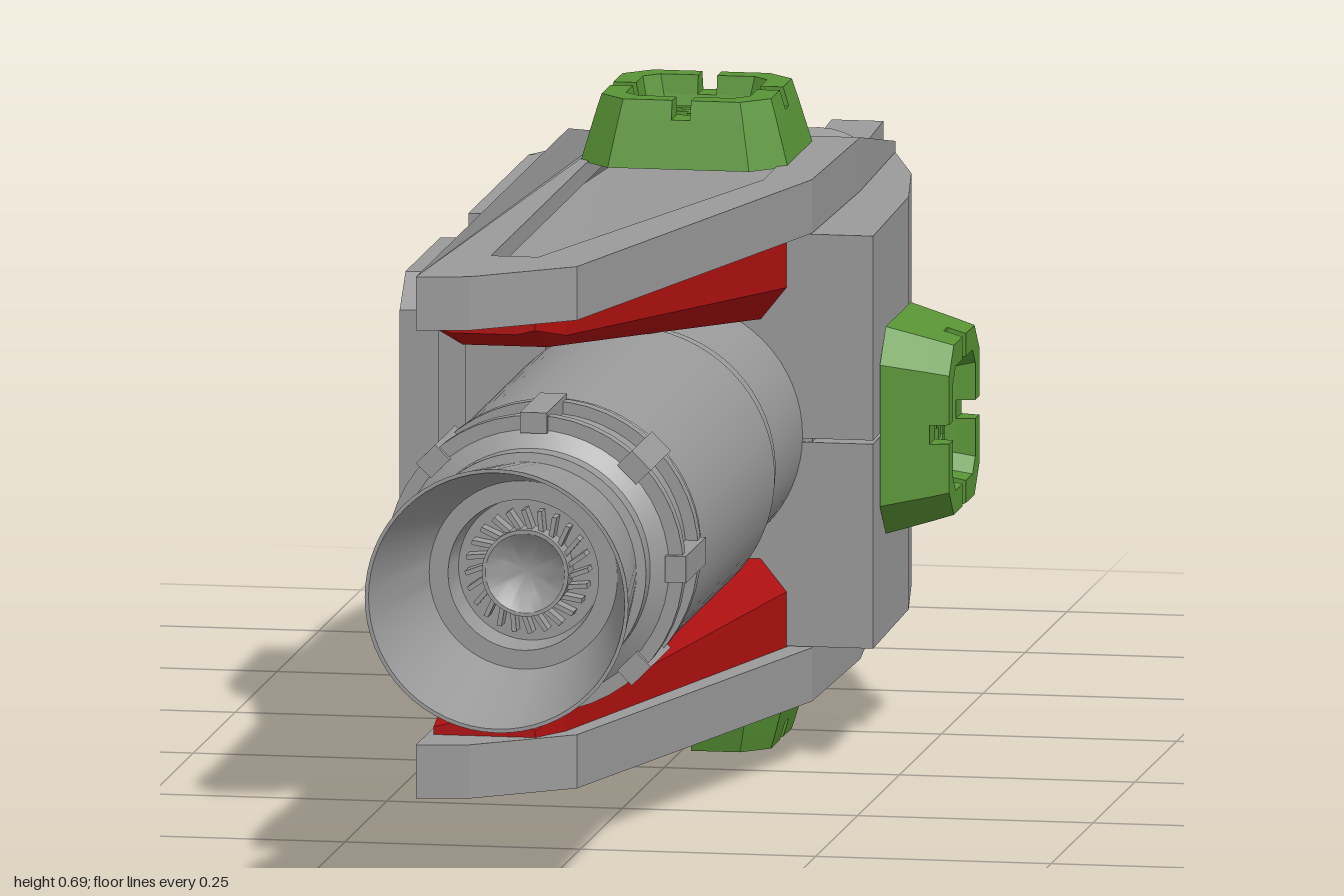
import * as THREE from 'three';
import { toCreasedNormals } from 'three/addons/utils/BufferGeometryUtils.js';

const mat = (name, color) => {
  const m = new THREE.MeshStandardMaterial({ color });
  m.name = name;
  return m;
};

export function createModel() {
  const grey = mat('hull grey', 0x9a9a9a);
  const red = mat('wedge red', 0xb01010);
  const green = mat('port green', 0x589435);
  const model = new THREE.Group();
  const MID = 0.345;

  const add = (parent, name, geo, material, x = 0, y = 0, z = 0) => {
    const m = new THREE.Mesh(geo, material);
    m.name = name;
    m.position.set(x, y, z);
    parent.add(m);
    return m;
  };
  const group = (parent, name, x = 0, y = 0, z = 0) => {
    const g = new THREE.Group();
    g.name = name;
    g.position.set(x, y, z);
    parent.add(g);
    return g;
  };
  const box = (w, h, d) => new THREE.BoxGeometry(w, h, d);

  // Flat-sided skin through cross-sections [z, counter-clockwise points]
  function loft(sections, capStart = true, capEnd = true) {
    const pos = [];
    const put = (s, i) => pos.push(s[1][i][0], s[1][i][1], s[0]);
    const n = sections[0][1].length;
    for (let k = 0; k + 1 < sections.length; k++) {
      const a = sections[k], b = sections[k + 1];
      for (let i = 0; i < n; i++) {
        const j = (i + 1) % n;
        put(a, i); put(a, j); put(b, j);
        put(a, i); put(b, j); put(b, i);
      }
    }
    const cap = (s, flip) => {
      const tris = THREE.ShapeUtils.triangulateShape(s[1].map(p => new THREE.Vector2(...p)), []);
      for (const t of tris) (flip ? [t[2], t[1], t[0]] : t).forEach(i => put(s, i));
    };
    if (capStart) cap(sections[0], true);
    if (capEnd) cap(sections[sections.length - 1], false);
    const g = new THREE.BufferGeometry();
    g.setAttribute('position', new THREE.Float32BufferAttribute(pos, 3));
    g.computeVertexNormals();
    return g;
  }
  const rect = (x0, x1, y0, y1) => [[x0, y0], [x1, y0], [x1, y1], [x0, y1]];
  const oct = (a, b, c) => [[a, c - b], [a, b - c], [a - c, b], [c - a, b],
    [-a, b - c], [-a, c - b], [c - a, -b], [a - c, -b]];

  // Turned part along +z from [radius, z] points
  const turned = (pts, seg = 48) => toCreasedNormals(
    new THREE.LatheGeometry(pts.map(p => new THREE.Vector2(...p)), seg).rotateX(Math.PI / 2), 0.5);

  // Two bands joined by blocks around a tube
  function clamp(parent, r, z0, z1, n) {
    for (const z of [z0, z1])
      add(parent, 'clampBand', turned([[r - 0.015, z - 0.008], [r, z - 0.008], [r, z + 0.008], [r - 0.015, z + 0.008]]), grey);
    for (let i = 0; i < n; i++) {
      const a = (i / n) * Math.PI * 2;
      const b = add(parent, 'clampBlock', box(0.022, r * 0.18, z1 - z0 + 0.03), grey,
        Math.cos(a) * (r - 0.007), Math.sin(a) * (r - 0.007), (z0 + z1) / 2);
      b.rotation.z = a;
    }
  }

  // Cross-shaped fitting on the floor of a port
  function portCore(parent, z) {
    add(parent, 'portRing', loft([[z, oct(0.042, 0.042, 0.012)], [z + 0.014, oct(0.04, 0.04, 0.012)],
      [z + 0.014, oct(0.03, 0.03, 0.009)], [z, oct(0.03, 0.03, 0.009)]], false, false), green);
    add(parent, 'portCross', box(0.04, 0.014, 0.016), green, 0, 0, z + 0.008);
    add(parent, 'portCross', box(0.014, 0.04, 0.016), green, 0, 0, z + 0.008);
  }

  // Raised port with a notched rim, pointing along +z
  function port(parent, x, y, z) {
    const g = group(parent, 'dockingPort', x, y, z);
    add(g, 'portBase', loft([[0, oct(0.11, 0.11, 0.035)], [0.05, oct(0.096, 0.096, 0.03)],
      [0.05, oct(0.062, 0.062, 0.016)], [0.028, oct(0.056, 0.056, 0.014)]]), green);
    const corner = (h, i, c) => [[0.01, i], [i - 0.016, i], [i, i - 0.016], [i, 0.01],
      [h, 0.01], [h, h - c], [h - c, h], [0.01, h]];
    for (let k = 0; k < 4; k++)
      add(g, 'portRim', loft([[0.05, corner(0.096, 0.062, 0.03)], [0.07, corner(0.09, 0.066, 0.028)]]), green)
        .rotation.z = k * Math.PI / 2;
    portCore(g, 0.028);
    return g;
  }

  // Long armour plate with a sunken panel and a sloping tail
  function plate(parent) {
    const V = pts => pts.map(([x, z]) => new THREE.Vector2(x, -z));
    const outline = V([[-0.155, 0.61], [-0.1, 0.6], [0, 0.52], [0.15, -0.04], [0.155, -0.3],
      [0.15, -0.54], [-0.15, -0.54], [-0.155, -0.3]]);
    const hole = V([[-0.1, 0.47], [-0.05, 0.47], [0.1, -0.03], [0.1, -0.3],
      [0.1, -0.47], [-0.1, -0.47], [-0.1, -0.3]]);
    const layer = (name, y0, y1, cut) => {
      const shape = new THREE.Shape(outline);
      if (cut) shape.holes.push(new THREE.Path(hole));
      const g = new THREE.ExtrudeGeometry(shape, { depth: y1 - y0, bevelEnabled: false });
      g.rotateX(-Math.PI / 2).translate(0, y0, 0);
      const p = g.attributes.position;
      for (let i = 0; i < p.count; i++) {
        const t = Math.max(0, (-0.3 - p.getZ(i)) / 0.24);
        p.setY(i, p.getY(i) * (1 - 0.8 * t));
      }
      g.computeVertexNormals();
      add(parent, name, g, grey, 0, 0.22, 0);
    };
    layer('plateFloor', 0, 0.037, false);
    layer('plateRim', 0.037, 0.057, true);
  }

  // Upper and lower halves, mirrored about the centre line
  for (const s of [1, -1]) {
    const half = group(model, s > 0 ? 'upperHalf' : 'lowerHalf', 0, MID, 0);
    half.scale.y = s;
    const side = x => rect(0, x, 0.002, 0.219);
    add(half, 'rightHull', loft([[-0.54, side(0.15)], [-0.42, side(0.188)], [-0.28, side(0.21)], [-0.04, side(0.215)]]), grey);
    plate(half);
    add(half, 'redWedge', loft([
      [-0.06, [[-0.148, 0.221], [-0.148, 0.165], [-0.1, 0.13], [0.1, 0.125], [0.128, 0.16], [0.128, 0.221]]],
      [0.5, [[-0.148, 0.221], [-0.148, 0.2], [-0.125, 0.187], [-0.035, 0.187], [-0.015, 0.2], [-0.015, 0.221]]],
      [0.545, [[-0.148, 0.221], [-0.148, 0.212], [-0.13, 0.207], [-0.06, 0.207], [-0.04, 0.212], [-0.04, 0.221]]],
    ]), red);
    port(half, 0, 0.275, -0.195).rotation.x = -Math.PI / 2;
  }

  // Central core and left hull with tapered nose
  add(model, 'core', box(0.3, 0.43, 0.495), grey, 0, MID, -0.29);
  add(model, 'leftHull', loft([[-0.54, rect(-0.2, -0.1, 0.14, 0.56)], [-0.4, rect(-0.215, -0.1, 0.13, 0.575)],
    [-0.04, rect(-0.215, -0.1, 0.13, 0.575)]]), grey);
  add(model, 'leftNose', loft([[-0.04, rect(-0.215, -0.09, 0.165, 0.56)], [0.06, rect(-0.215, -0.09, 0.165, 0.56)],
    [0.14, rect(-0.215, -0.09, 0.21, 0.51)]]), grey);
  add(model, 'nosePanel', box(0.085, 0.24, 0.008), grey, -0.142, 0.36, 0.143);
  port(model, 0.215, MID, -0.19).rotation.y = Math.PI / 2;

  // Left pad with recessed port
  const pad = group(model, 'leftPad', -0.21, 0.36, -0.19);
  pad.rotation.y = -Math.PI / 2;
  const inner = oct(0.1, 0.1, 0.03);
  add(pad, 'padFrame', loft([[0, oct(0.14, 0.145, 0.035)], [0.08, oct(0.138, 0.143, 0.035)], [0.08, inner]], true, false), grey);
  add(pad, 'padSocket', loft([[0.08, inner], [0.055, oct(0.092, 0.092, 0.028)],
    [0.055, oct(0.075, 0.075, 0.022)], [0.025, oct(0.065, 0.065, 0.02)]], false), green);
  portCore(pad, 0.025);

  // Main engine
  const main = group(model, 'mainEngine', 0, 0.35, 0);
  add(main, 'mainTube', turned([[0.14, -0.1], [0.14, 0.155], [0.147, 0.16], [0.147, 0.2], [0.155, 0.21],
    [0.155, 0.65], [0.145, 0.66], [0.145, 0.77], [0.125, 0.785], [0.125, 0.81], [0.115, 0.812], [0.14, 1],
    [0.136, 1], [0.1, 0.84], [0.08, 0.84], [0.076, 0.8], [0, 0.8]], 64), grey);
  clamp(main, 0.158, 0.675, 0.765, 8);
  add(main, 'turbineHub', turned([[0.046, 0.8], [0.046, 0.83], [0.042, 0.83], [0.025, 0.818], [0, 0.812]]), grey);
  for (let i = 0; i < 24; i++) {
    const a = (i / 24) * Math.PI * 2;
    add(main, 'turbineBlade', box(0.022, 0.005, 0.02), grey, Math.cos(a) * 0.055, Math.sin(a) * 0.055, 0.81).rotation.z = a + 0.35;
  }

  // Four rear thrusters: [x, y, nozzle end, clamp start]
  for (const [x, y, end, c] of [[-0.115, 0.465, 0.9, 0.73], [-0.115, 0.275, 0.9, 0.73],
    [0.015, 0.455, 0.84, 0.635], [0.015, 0.225, 0.84, 0.635]]) {
    const t = group(model, 'rearThruster', x, y, 0);
    t.rotation.y = Math.PI;
    add(t, 'thrusterTube', turned([[0.076, 0.5], [0.076, c - 0.015], [0.07, c - 0.01], [0.07, c + 0.065],
      [0.058, c + 0.07], [0.058, end - 0.1], [0.08, end], [0.076, end], [0.05, end - 0.09], [0.035, end - 0.09],
      [0.03, end - 0.12], [0, end - 0.11]], 36), grey);
    clamp(t, 0.08, c, c + 0.06, 8);
  }

  // Tail fin between the thrusters
  const fin = [[0.52, 0.355], [0.52, 0.32], [0.6, 0.32], [0.8, 0.345], [0.91, 0.38], [1, 0.48], [1, 0.515],
    [0.9, 0.51], [0.86, 0.46], [0.845, 0.375], [0.78, 0.365]];
  add(model, 'tailFin', loft([[0, fin], [0.055, fin]]).rotateY(Math.PI / 2), grey);

  return model;
}
